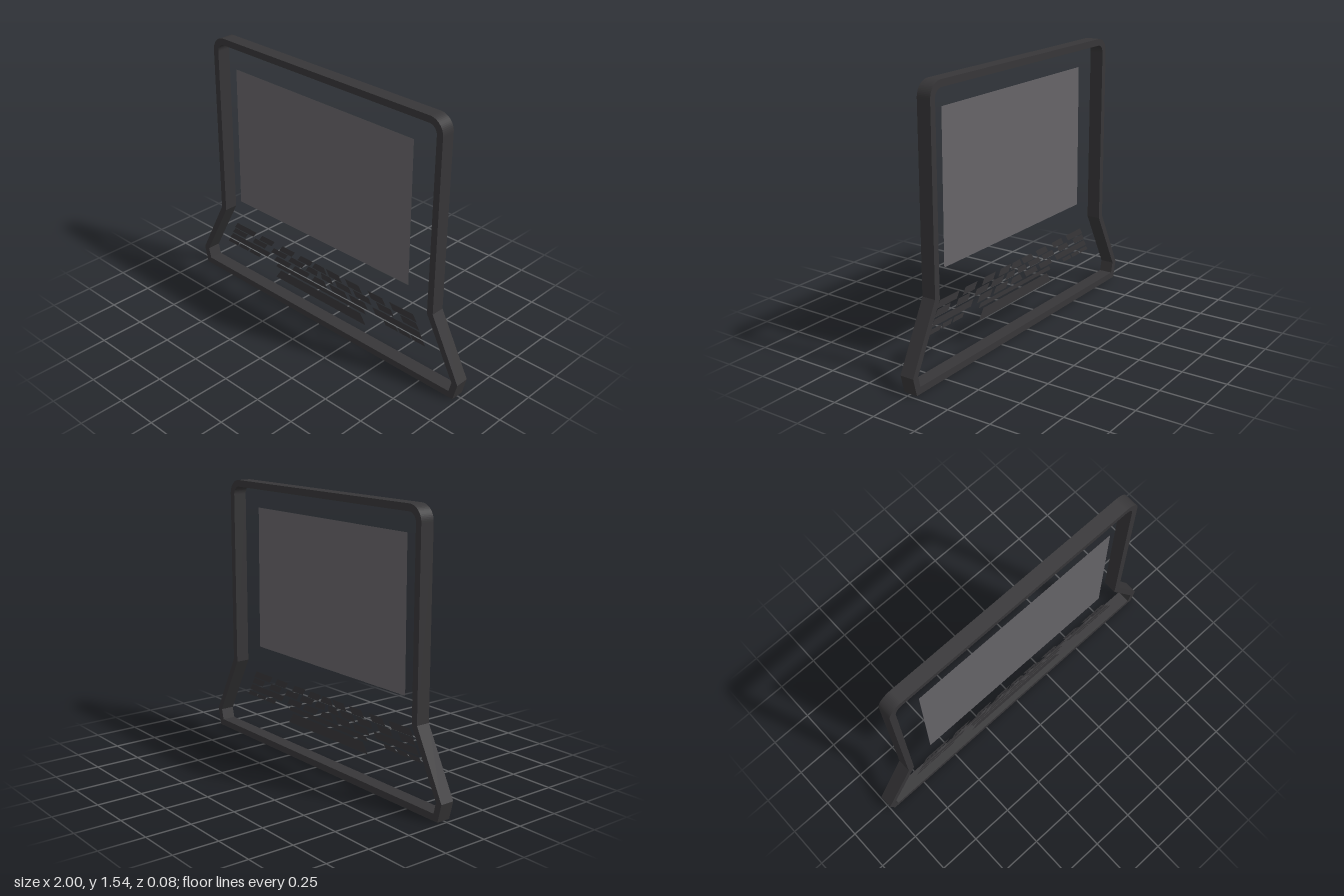
import * as THREE from 'three';

const FRAME_DEPTH = 0.08;
const PLATE_Z = 0.035;

// Laptop outline: rounded lid on top, flared base below
function outline(path, lidX, topY, radius, bendY, wideX, wideY, footX, footY) {
  path.moveTo(-footX, footY);
  path.lineTo(footX, footY);
  path.lineTo(wideX, wideY);
  path.lineTo(lidX, bendY);
  path.lineTo(lidX, topY - radius);
  path.absarc(lidX - radius, topY - radius, radius, 0, Math.PI / 2, false);
  path.absarc(-lidX + radius, topY - radius, radius, Math.PI / 2, Math.PI, false);
  path.lineTo(-lidX, bendY);
  path.lineTo(-wideX, wideY);
  path.closePath();
  return path;
}

// Flat four-sided plate, given its bottom and top edges
function plate(name, material, y0, y1, b0, b1, t0, t1) {
  const shape = new THREE.Shape([
    new THREE.Vector2(b0, y0), new THREE.Vector2(b1, y0),
    new THREE.Vector2(t1, y1), new THREE.Vector2(t0, y1),
  ]);
  const mesh = new THREE.Mesh(new THREE.ShapeGeometry(shape), material);
  mesh.name = name;
  mesh.position.z = PLATE_Z;
  return mesh;
}

export function createModel() {
  const model = new THREE.Group();
  model.name = 'laptop';

  const dark = new THREE.MeshStandardMaterial({ color: 0x373638, side: THREE.DoubleSide });
  dark.name = 'charcoal';
  const grey = new THREE.MeshStandardMaterial({ color: 0x666468, side: THREE.DoubleSide });
  grey.name = 'screen grey';

  // Open frame
  const shape = outline(new THREE.Shape(), 0.815, 1.54, 0.085, 0.455, 1, 0.1, 0.975, 0);
  shape.holes.push(outline(new THREE.Path(), 0.778, 1.502, 0.05, 0.445, 0.962, 0.1, 0.946, 0.038));
  const frameGeometry = new THREE.ExtrudeGeometry(shape, {
    depth: FRAME_DEPTH, bevelEnabled: false, curveSegments: 8,
  });
  frameGeometry.translate(0, 0, -FRAME_DEPTH / 2);
  const frame = new THREE.Mesh(frameGeometry, dark);
  frame.name = 'frame';
  model.add(frame);

  // Screen, slightly wider at the bottom
  model.add(plate('screen', grey, 0.555, 1.385, -0.643, 0.643, -0.638, 0.638));

  // Keyboard rows: half width of the middle key, and the mirrored keys beside it
  const rows = [
    { y0: 0.353, y1: 0.392, middle: 0.057, keys: [[0.077, 0.175], [0.222, 0.325], [0.39, 0.495], [0.545, 0.71]] },
    { y0: 0.312, y1: 0.348, keys: [[0.02, 0.11], [0.14, 0.25], [0.28, 0.395], [0.45, 0.555], [0.62, 0.73]] },
    { y0: 0.267, y1: 0.303, middle: 0.06, keys: [[0.1, 0.22], [0.25, 0.37], [0.425, 0.755]] },
    { y0: 0.232, y1: 0.257, middle: 0.355, keys: [[0.5, 0.587], [0.6, 0.68], [0.69, 0.775]] },
  ];
  const keyboard = new THREE.Group();
  keyboard.name = 'keyboard';
  // Key sides lean towards the centre line
  const lean = (x, h) => x - Math.min(0.7 * h, x * 0.4);
  for (const { y0, y1, middle, keys } of rows) {
    const h = y1 - y0;
    if (middle) {
      const top = lean(middle, h);
      keyboard.add(plate('middleKey', dark, y0, y1, -middle, middle, -top, top));
    }
    for (const [a, b] of keys) {
      const ta = lean(a, h), tb = lean(b, h);
      keyboard.add(plate('leftKey', dark, y0, y1, a, b, ta, tb));
      keyboard.add(plate('rightKey', dark, y0, y1, -b, -a, -tb, -ta));
    }
  }
  model.add(keyboard);

  // Touchpad
  model.add(plate('touchpad', dark, 0.16, 0.22, -0.355, 0.355, -0.313, 0.313));

  return model;
}
